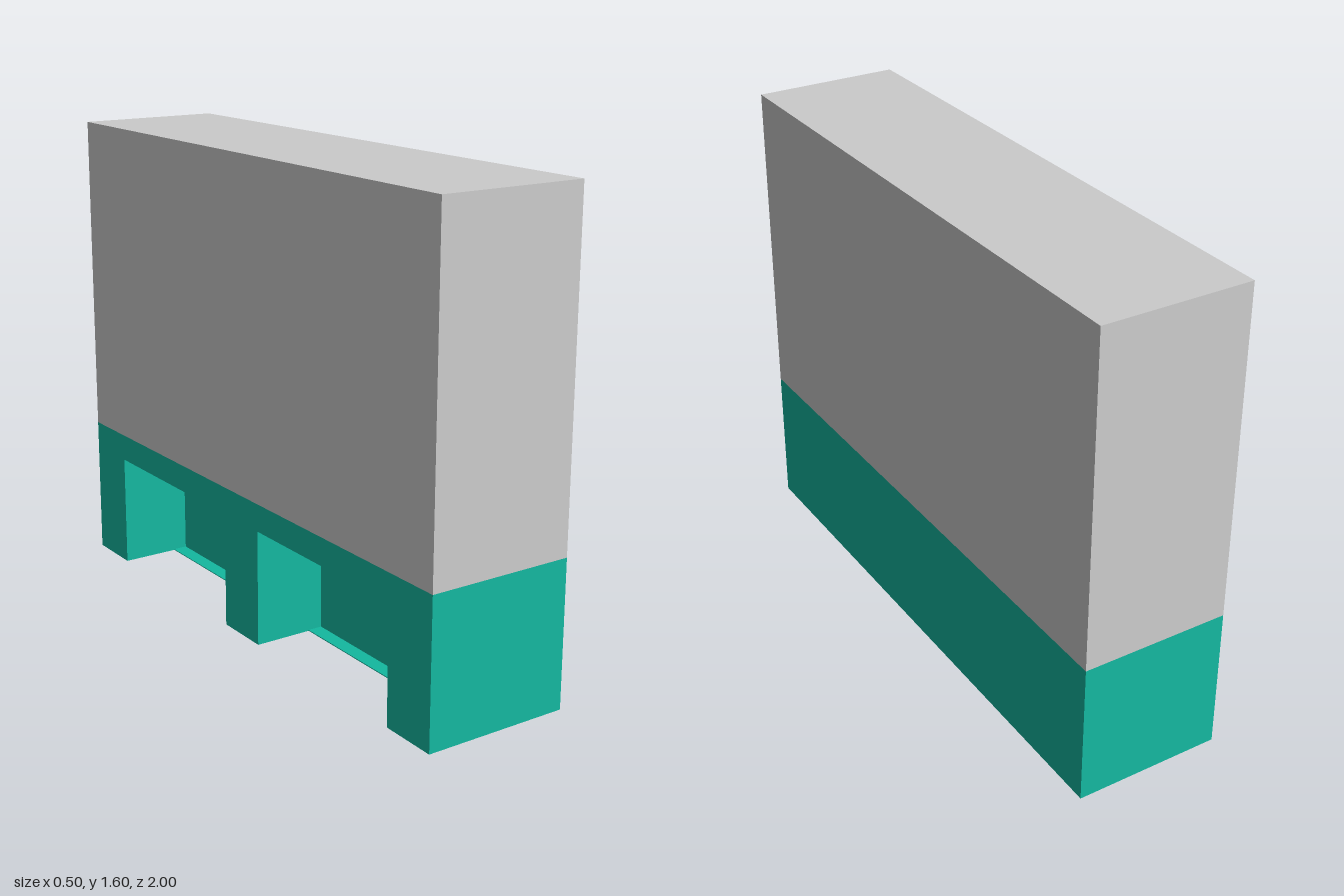
import * as THREE from 'three';

const WIDTH = 0.5, LENGTH = 2, HEIGHT = 1.6;
const BASE = 0.488;          // height of the coloured base
const OPENING = 0.395;       // height of the fork openings
const LIP = 0.05, SHEET = 0.003;

export function createModel() {
  const group = new THREE.Group();
  const grey = new THREE.MeshStandardMaterial({ color: 0xcccccc });
  const teal = new THREE.MeshStandardMaterial({ color: 0x14b8a0 });

  const add = (name, geometry, material, x = 0, y = 0, z = 0) => {
    const mesh = new THREE.Mesh(geometry, material);
    mesh.name = name;
    mesh.position.set(x, y, z);
    group.add(mesh);
    return mesh;
  };
  const box = (name, w, h, d, material, x, y, z) =>
    add(name, new THREE.BoxGeometry(w, h, d), material, x, y + h / 2, z);

  // Plain upper block
  box('upperBody', WIDTH, HEIGHT - BASE, LENGTH, grey, 0, BASE, 0);

  // Solid half of the base
  box('baseBlock', WIDTH / 2, BASE, LENGTH, teal, WIDTH / 4, 0, 0);

  // Open half of the base: three posts under a lintel
  const frame = new THREE.Shape([
    [-1, 0], [-0.8, 0], [-0.8, OPENING], [-0.1, OPENING], [-0.1, 0],
    [0.1, 0], [0.1, OPENING], [0.8, OPENING], [0.8, 0],
    [1, 0], [1, BASE], [-1, BASE],
  ].map(([z, y]) => new THREE.Vector2(z, y)));
  const frameGeometry = new THREE.ExtrudeGeometry(frame, { depth: WIDTH / 2, bevelEnabled: false });
  frameGeometry.rotateY(-Math.PI / 2);
  add('openingFrame', frameGeometry, teal);

  // Thin floor lip inside each opening
  for (const side of [-1, 1]) {
    box('openingFloorLip', LIP, SHEET, 0.7, teal, -LIP / 2, 0, side * 0.45);
  }

  return group;
}
